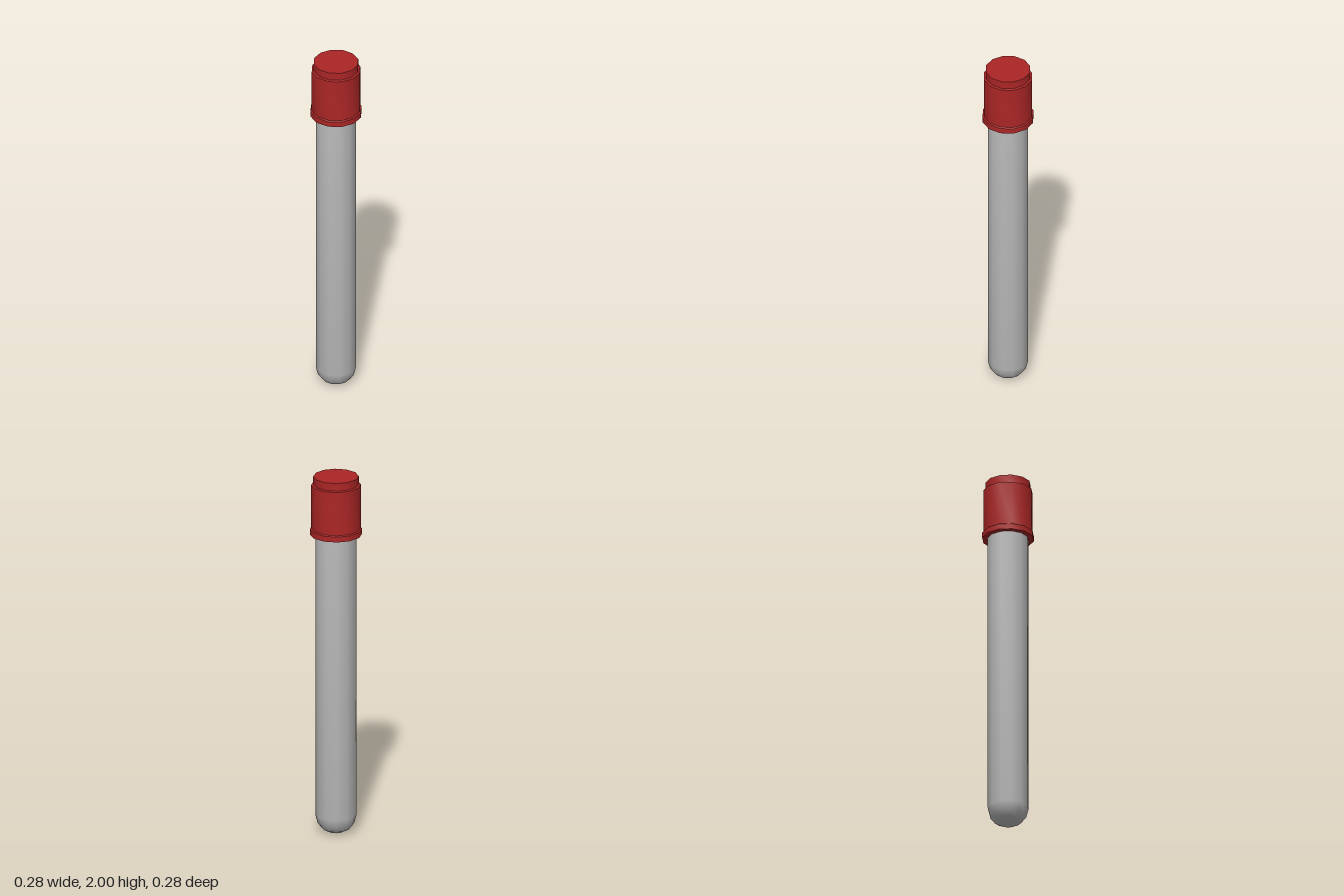
import * as THREE from 'three';
import { toCreasedNormals } from 'three/addons/utils/BufferGeometryUtils.js';

const SIDES = 12;

// Revolve a [radius, height] profile, keeping hard edges at the steps
function revolve(name, profile, material) {
  const points = profile.map(([r, y]) => new THREE.Vector2(r, y));
  const geometry = toCreasedNormals(new THREE.LatheGeometry(points, SIDES), 0.75);
  const mesh = new THREE.Mesh(geometry, material);
  mesh.name = name;
  return mesh;
}

export function createModel() {
  const glass = new THREE.MeshStandardMaterial({ name: 'grey glass', color: 0xbcbcbc });
  const red = new THREE.MeshStandardMaterial({ name: 'red cap', color: 0xac2626 });

  const model = new THREE.Group();
  model.name = 'testTube';

  // Long tube with a rounded bottom
  model.add(revolve('tube', [
    [0, 0], [0.04, 0.006], [0.075, 0.024], [0.098, 0.053], [0.11, 0.1], [0.11, 1.7],
  ], glass));

  // Stopper: bottom flange, main grip and stepped top
  model.add(revolve('cap', [
    [0.108, 1.675], [0.139, 1.675], [0.139, 1.705], [0.132, 1.71],
    [0.132, 1.953], [0.121, 1.957], [0.121, 2], [0, 2],
  ], red));

  return model;
}
